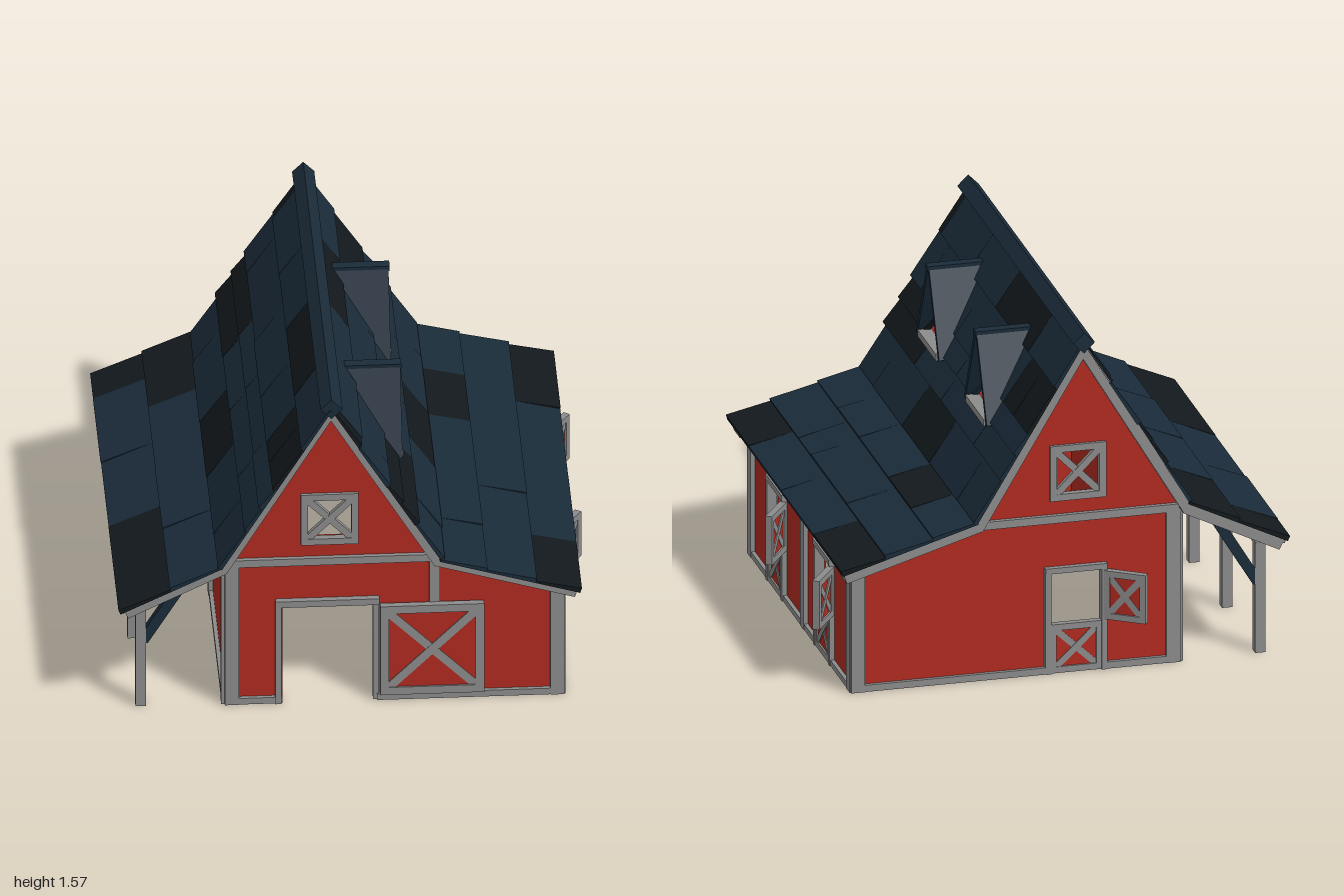
import * as THREE from 'three';
import { ConvexGeometry } from 'three/addons/geometries/ConvexGeometry.js';

const mat = (color) => new THREE.MeshStandardMaterial({ color, flatShading: true });
const RED = mat(0xb02a20), GREY = mat(0xcccccc), NAVY = mat(0x1a2b39), DARK = mat(0x13191d);
GREY.color.set(0x8c8c8c);

function add(parent, name, geometry, material) {
  const m = new THREE.Mesh(geometry, material);
  m.name = name;
  parent.add(m);
  return m;
}
function box(parent, name, material, x, y, z, w, h, d) {
  const m = add(parent, name, new THREE.BoxGeometry(w, h, d), material);
  m.position.set(x, y, z);
  return m;
}
// Bar between two points of an xy plane
function bar(parent, name, material, [x0, y0], [x1, y1], z, width, depth) {
  const m = box(parent, name, material, (x0 + x1) / 2, (y0 + y1) / 2, z,
    Math.hypot(x1 - x0, y1 - y0), width, depth);
  m.rotation.z = Math.atan2(y1 - y0, x1 - x0);
  return m;
}
// Frame with crossed boards, optionally backed by a red panel; origin in its middle
function crossPanel(parent, name, x, y, z, w, h, t, backed) {
  const g = new THREE.Group();
  g.name = name;
  g.position.set(x, y, z);
  parent.add(g);
  if (backed) box(g, 'panel', RED, 0, 0, 0, w - t, h - t, 0.014);
  const a = w / 2 - t / 2, b = h / 2 - t / 2;
  for (const s of [-1, 1]) {
    box(g, 'stile', GREY, s * a, 0, 0, t, h, 0.03);
    box(g, 'rail', GREY, 0, s * b, 0, w - 2 * t, t, 0.03);
    bar(g, 'crossBoard', GREY, [-a, -s * b], [a, s * b], s * 0.001, t, 0.022);
  }
  return g;
}
// Framed opening facing local +z, with a closed lower leaf and an open upper one
function doorway(parent, x, z, turn, leaves) {
  const g = new THREE.Group();
  g.name = 'doorway';
  g.position.set(x, 0, z);
  g.rotation.y = turn;
  parent.add(g);
  for (const s of [-1, 1]) box(g, 'doorPost', GREY, s * 0.123, 0.24, 0, 0.025, 0.48, 0.045);
  box(g, 'doorHead', GREY, 0, 0.468, 0, 0.27, 0.025, 0.05);
  if (!leaves) return;
  crossPanel(g, 'lowerLeaf', 0, 0.113, 0.005, 0.23, 0.22, 0.028, true);
  const hinge = new THREE.Group();
  hinge.name = 'upperLeafHinge';
  hinge.position.set(0.125, 0.34, 0.012);
  hinge.rotation.y = -0.6;
  g.add(hinge);
  crossPanel(hinge, 'upperLeaf', 0.095, 0, 0, 0.19, 0.22, 0.028, true);
}
// Wall outline: door notches [left, right, top] in the base, points along the top
function wall(parent, name, u0, u1, top, doors, windows) {
  const s = new THREE.Shape();
  s.moveTo(u0, 0);
  for (const [a, b, h] of doors) {
    s.lineTo(a, 0); s.lineTo(a, h); s.lineTo(b, h); s.lineTo(b, 0);
  }
  s.lineTo(u1, 0);
  for (const [x, y] of top) s.lineTo(x, y);
  for (const [x, y, r] of windows) {
    s.holes.push(new THREE.Path([[-r, -r], [-r, r], [r, r], [r, -r]].map(([i, j]) => new THREE.Vector2(x + i, y + j))));
  }
  return add(parent, name, new THREE.ExtrudeGeometry(s, { depth: 0.03, bevelEnabled: false }), RED);
}
// One shingle on the slope p->q; it lifts towards its lower edge
function shingle(parent, p, q, t0, t1, zTop, zLow, material, lift) {
  const dx = q[0] - p[0], dy = q[1] - p[1], len = Math.hypot(dx, dy), s = Math.sign(dx);
  const n = [-dy / len * s, dx / len * s].map((v) => v * s);
  if (n[1] < 0) { n[0] *= -1; n[1] *= -1; }
  const pts = [];
  for (const [t, zs, up] of [[t0, zTop, 0.01], [t1, zLow, lift]]) {
    for (const z of zs) for (const k of [0, up]) {
      pts.push(new THREE.Vector3(p[0] + dx * t + n[0] * k, p[1] + dy * t + n[1] * k, z));
    }
  }
  add(parent, 'shingle', new ConvexGeometry(pts), material);
}
// Row: [t0, t1, joints along z, dark shingles, half opening at top, at bottom]
function slope(parent, name, p, q, rows, dormers, flip) {
  const g = new THREE.Group();
  g.name = name;
  parent.add(g);
  rows.forEach(([t0, t1, joints, dark, h0 = 0, h1 = 0], r) => {
    for (let i = 0; i < joints.length - 1; i++) {
      let [b, a] = [joints[i], joints[i + 1]];
      if (flip) [a, b] = [-b, -a];
      const m = dark.includes(i) ? DARK : NAVY, lift = 0.02 + ((i * 3 + r) % 4) * 0.002;
      // Cut the shingle where a dormer opens
      let low = [a, a];
      if (h1) for (const c of dormers) {
        const left = [c - h0, c - h1], right = [c + h0, c + h1];
        if (right[1] <= a || left[1] >= b) continue;
        const clamp = (v) => Math.min(b, Math.max(low[0], v));
        const clamp1 = (v) => Math.min(b, Math.max(low[1], v));
        const e = [clamp(left[0]), clamp1(left[1])];
        if (e[0] - low[0] + e[1] - low[1] > 0.01) shingle(g, p, q, t0, t1, [low[0], e[0]], [low[1], e[1]], m, lift);
        low = [clamp(right[0]), clamp1(right[1])];
      }
      if (2 * b - low[0] - low[1] > 0.01) shingle(g, p, q, t0, t1, [low[0], b], [low[1], b], m, lift);
    }
  });
}

export function createModel() {
  const barn = new THREE.Group();
  barn.name = 'barn';
  const F = 0.82, B = -0.85, right = Math.PI / 2;

  // Walls
  const gable = [[0.88, 0.58], [0.36, 0.73], [-0.1, 1.5], [-0.54, 0.75]];
  wall(barn, 'frontWall', -0.54, 0.88, gable, [[-0.3, 0.1, 0.48]], [[-0.1, 0.905, 0.1]]).position.z = F - 0.03;
  wall(barn, 'backWall', -0.54, 0.88, gable, [[-0.21, 0.03, 0.46]], [[-0.1, 0.905, 0.1]]).position.z = B;
  const sides = [['rightWall', 0.85, 0.58, [-0.38, 0.4]], ['leftWall', -0.54, 0.74, [0.4]]];
  for (const [name, x, h, doors] of sides) {
    const w = wall(barn, name, -F, -B, [[-B, h], [-F, h]], doors.map((c) => [c - 0.12, c + 0.12, 0.46]), []);
    w.rotation.y = right;
    w.position.x = x;
  }

  // Doors
  doorway(barn, 0.88, 0.38, right, true);
  doorway(barn, 0.88, -0.4, right, true);
  doorway(barn, -0.54, -0.4, -right, false);
  doorway(barn, -0.09, B, Math.PI, true);
  crossPanel(barn, 'slidingDoor', 0.333, 0.26, 0.85, 0.44, 0.44, 0.037, true);
  box(barn, 'entryPost', GREY, -0.318, 0.25, F, 0.026, 0.5, 0.05);
  box(barn, 'entryPost', GREY, 0.097, 0.25, F - 0.01, 0.026, 0.5, 0.04);
  box(barn, 'entryHead', GREY, -0.11, 0.495, F, 0.44, 0.03, 0.055);

  // Trim on the two gable ends
  for (const [z, s] of [[F, 1], [B, -1]]) {
    crossPanel(barn, 'gableWindow', -0.1, 0.905, z, 0.245, 0.25, 0.03, false);
    box(barn, 'cornerPost', GREY, -0.515, 0.35, z, 0.06, 0.7, 0.04);
    box(barn, 'cornerPost', GREY, 0.865, 0.28, z, 0.06, 0.56, 0.04);
    box(barn, 'crossBeam', GREY, -0.09, 0.7, z, 0.92, 0.035, 0.04);
    if (s > 0) box(barn, 'wallPost', GREY, 0.345, 0.58, z, 0.045, 0.25, 0.035);
    const bases = s > 0 ? [[-0.54, -0.3], [0.1, 0.88]] : [[-0.54, -0.21], [0.03, 0.88]];
    for (const [a, b] of bases) box(barn, 'baseBoard', GREY, (a + b) / 2, 0.015, z, b - a, 0.03, 0.035);
    // Barge boards fill the overhang
    const zb = z + s * 0.045, d = 0.1;
    bar(barn, 'bargeBoard', GREY, [-0.1, 1.49], [-0.56, 0.715], zb, 0.045, d);
    bar(barn, 'bargeBoard', GREY, [-0.1, 1.49], [0.36, 0.715], zb, 0.045, d);
    bar(barn, 'eaveBoard', GREY, [-0.55, 0.725], [-0.97, 0.518], zb, 0.05, d);
    bar(barn, 'eaveBoard', GREY, [0.35, 0.725], [0.94, 0.548], zb, 0.04, d);
  }

  // Trim along the sides
  const midZ = (F + B) / 2, length = F - B;
  for (const z of [F - 0.02, -0.07, B + 0.02]) {
    box(barn, 'sidePost', GREY, 0.88, 0.28, z, 0.04, 0.56, 0.06);
    box(barn, 'sidePost', GREY, -0.54, 0.35, z, 0.04, 0.7, 0.06);
  }
  for (const [a, b] of [[F, 0.5], [0.26, -0.28], [-0.52, B]]) {
    box(barn, 'baseBoard', GREY, 0.88, 0.013, (a + b) / 2, 0.035, 0.026, a - b);
  }
  for (const [a, b] of [[F, -0.28], [-0.52, B]]) {
    box(barn, 'baseBoard', GREY, -0.54, 0.013, (a + b) / 2, 0.035, 0.026, a - b);
  }
  box(barn, 'eavePlate', GREY, 0.895, 0.555, midZ, 0.03, 0.03, length);
  box(barn, 'wallPlate', GREY, -0.545, 0.7, midZ, 0.03, 0.035, length);

  // Porch
  bar(barn, 'porchSoffit', GREY, [-0.55, 0.738], [-0.985, 0.526], midZ, 0.012, 1.85);
  box(barn, 'porchBeam', GREY, -0.9, 0.515, midZ, 0.045, 0.05, length);
  for (let i = 0; i < 4; i++) {
    box(barn, 'porchPost', GREY, -0.9, 0.25, F - 0.02 - i * (length - 0.04) / 3, 0.045, 0.5, 0.045);
  }
  for (const z of [F - 0.02, B + 0.02]) bar(barn, 'porchBrace', NAVY, [-0.89, 0.32], [-0.72, 0.6], z, 0.045, 0.035);

  // Roof
  const dormers = [0.39, -0.395];
  const E = 0.945, W = -0.955;
  const third = [E, 0.43, 0.0, -0.53, W];
  const steep = [
    [0, 0.245, [E, 0.89, 0.44, 0.0, -0.53, W], [0, 3]],
    [0.245, 0.503, [0.955, 0.78, 0.22, -0.22, -0.58, -0.74, W], [4, 5], 0, 0.1],
    [0.503, 0.62, third, [0], 0.1, 0.145],
    [0.62, 0.76, third, [0]],
    [0.76, 1, [0.935, 0.69, 0.21, -0.23, -0.68, W], [2]],
  ];
  const steepLeft = steep.map(([a, b, joints, dark]) => [a, b, joints, dark]);
  const shallow = [
    [0, 0.33, [E, 0.6, 0.25, -0.23, -0.6, W], [3]],
    [0.33, 0.68, [E, 0.47, 0.26, -0.33, W], []],
    [0.68, 1, [E, 0.57, 0.04, -0.5, W], [0, 3]],
  ];
  const porch = [
    [0, 0.5, [E, 0.47, 0.0, -0.5, W], [3]],
    [0.5, 1, [E, 0.27, -0.24, -0.75, W], [0, 3]],
  ];
  slope(barn, 'rightRoof', [-0.1, 1.515], [0.365, 0.745], steep, dormers, false);
  slope(barn, 'leftRoof', [-0.1, 1.515], [-0.565, 0.745], steepLeft, [], true);
  slope(barn, 'rightEaveRoof', [0.36, 0.745], [0.955, 0.567], shallow, [], false);
  slope(barn, 'porchRoof', [-0.56, 0.745], [-0.993, 0.535], porch, [], false);
  const ridge = add(barn, 'ridgeCap', new THREE.CylinderGeometry(0.047, 0.047, 1.91, 4), NAVY);
  ridge.rotation.x = Math.PI / 2;
  ridge.position.set(-0.1, 1.525, -0.005);

  // Dormers: two leaning panels over an open front
  for (const c of dormers) {
    for (const s of [-1, 1]) {
      const pts = [];
      for (const [x, y, z] of [[-0.03, 1.385, 0], [0.225, 1.385, 0], [0.225, 1.03, 0.168], [0.18, 1.03, 0.168]]) {
        for (const k of [0, 0.022]) pts.push(new THREE.Vector3(x, y + k * 0.43, c + s * (z + k * 0.9)));
      }
      add(barn, 'dormerRoof', new ConvexGeometry(pts), NAVY);
    }
    bar(barn, 'dormerRidge', NAVY, [-0.02, 1.392], [0.23, 1.392], c, 0.025, 0.045);
    box(barn, 'dormerSill', GREY, 0.2, 1.04, c, 0.06, 0.03, 0.3);
  }
  return barn;
}
